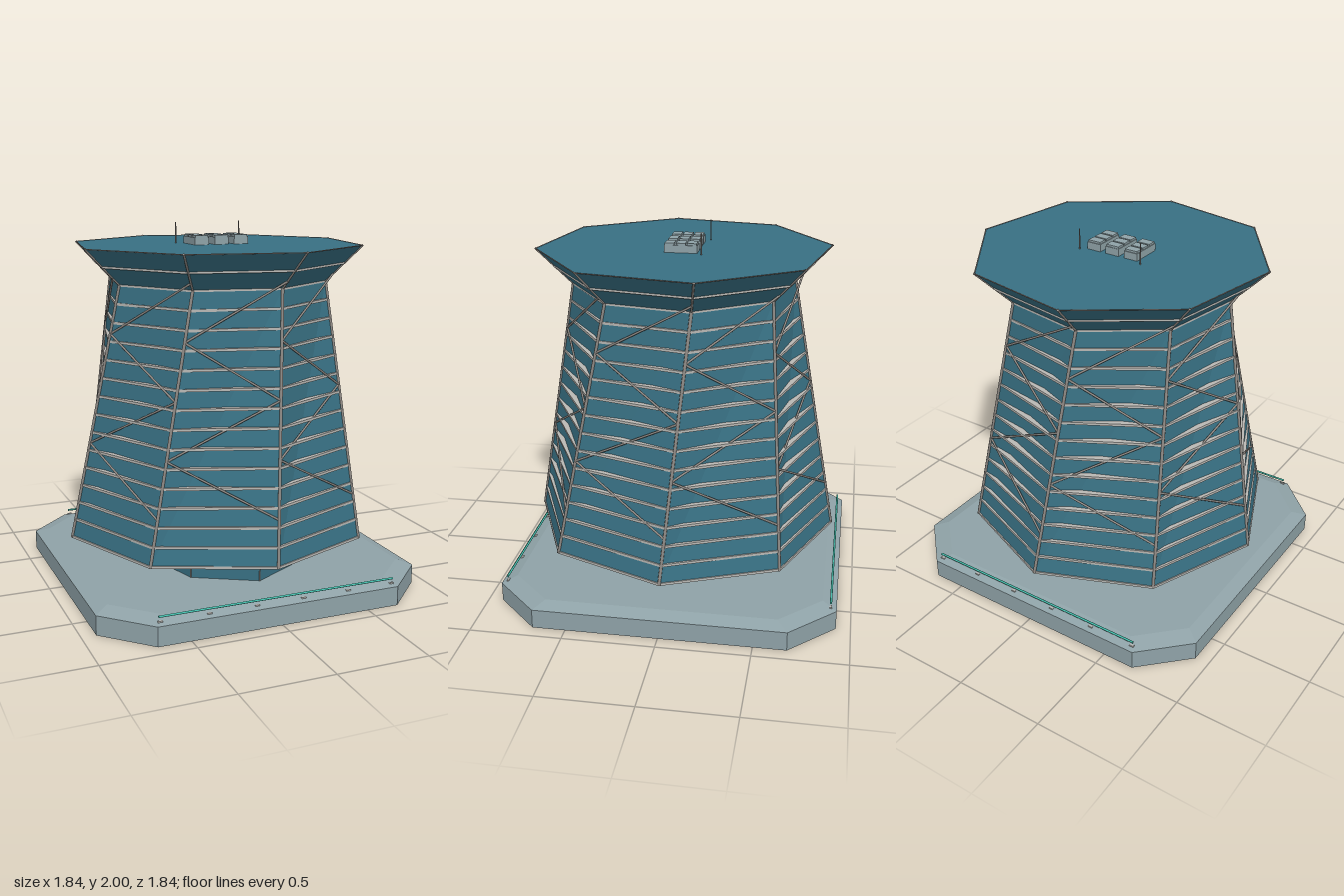
import * as THREE from 'three';

const mat = (name, color, extra = {}) => Object.assign(new THREE.MeshStandardMaterial({ color, ...extra }), { name });

export function createModel() {
  const glass = mat('teal glass', 0x387083, { flatShading: true });
  const stone = mat('pale grey', 0x8fa2a7, { flatShading: true });
  const slabWhite = mat('light floor edge', 0xb9b8b4, { flatShading: true });
  const frameMetal = mat('grey metal', 0x8d8883);
  const railGreen = mat('rail green', 0x46c0ae);

  const model = new THREE.Group();
  const group = (name) => {
    const g = new THREE.Group();
    g.name = name;
    model.add(g);
    return g;
  };
  const add = (parent, name, geo, material, x = 0, y = 0, z = 0) => {
    const m = new THREE.Mesh(geo, material);
    m.name = name;
    m.position.set(x, y, z);
    parent.add(m);
    return m;
  };
  const box = (w, h, d) => new THREE.BoxGeometry(w, h, d);

  // Round bar between two points
  const UP = new THREE.Vector3(0, 1, 0);
  const bar = (parent, name, a, b, r, material) => {
    const m = add(parent, name, new THREE.CylinderGeometry(r, r, a.distanceTo(b) + r, 8), material);
    m.position.copy(a).add(b).multiplyScalar(0.5);
    m.quaternion.setFromUnitVectors(UP, b.clone().sub(a).normalize());
    return m;
  };

  // Surface through matching rings of points, listed from the bottom up
  const loft = (rings, capBottom, capTop) => {
    const pos = [];
    const tri = (...p) => p.forEach((v) => pos.push(v.x, v.y, v.z));
    const n = rings[0].length;
    for (let i = 0; i < n; i++) {
      const j = (i + 1) % n;
      for (let k = 0; k + 1 < rings.length; k++) {
        const [lo, hi] = [rings[k], rings[k + 1]];
        tri(lo[i], lo[j], hi[j]);
        tri(lo[i], hi[j], hi[i]);
      }
      const [b, t] = [rings[0], rings[rings.length - 1]];
      if (capBottom && i > 0 && i < n - 1) tri(b[0], b[j], b[i]);
      if (capTop && i > 0 && i < n - 1) tri(t[0], t[i], t[j]);
    }
    const g = new THREE.BufferGeometry();
    g.setAttribute('position', new THREE.Float32BufferAttribute(pos, 3));
    g.computeVertexNormals();
    return g;
  };

  // Eight corners, the first one at the front, running towards +x
  const octagon = (y, rx, rz = rx, twist = 0) =>
    Array.from({ length: 8 }, (_, i) => {
      const a = (i * Math.PI) / 4 + twist;
      return new THREE.Vector3(rx * Math.sin(a), y, rz * Math.cos(a));
    });
  const TWIST = THREE.MathUtils.degToRad(12);
  const Y0 = 0.29, Y1 = 1.69, Y2 = 1.885;
  const foot = octagon(Y0, 0.86);
  const neck = octagon(Y1, 0.612, 0.612, TWIST);
  const crown = octagon(Y2, 0.808, 0.808, TWIST);

  // Point on the tower's corner line i at height y
  const corner = (i, y) =>
    y <= Y1
      ? foot[i].clone().lerp(neck[i], (y - Y0) / (Y1 - Y0))
      : neck[i].clone().lerp(crown[i], (y - Y1) / (Y2 - Y1));

  // Plinth: square with cut corners and a bevelled top
  const plinthRing = (y, s) => {
    const a = 0.922 * s, b = 0.678 * s;
    return [[-b, a], [b, a], [a, b], [a, -b], [b, -a], [-b, -a], [-a, -b], [-a, b]]
      .map(([x, z]) => new THREE.Vector3(x, y, z));
  };
  add(model, 'plinth', loft([plinthRing(0, 1), plinthRing(0.106, 1), plinthRing(0.132, 0.918)], true, true), stone);

  // Entrance level and the soffit widening to the tower
  const podiumLow = octagon(0.12, 0.46, 0.63);
  const podiumTop = octagon(0.222, 0.46, 0.63);
  add(model, 'entranceLevel', loft([podiumLow, podiumTop]), glass);
  add(model, 'soffit', loft([podiumTop, foot]), glass);

  // Twisted shaft of folded glass panels, flared crown and roof
  add(model, 'glassShaft', loft([foot, neck]), glass);
  add(model, 'flaredCrown', loft([neck, crown], false, true), glass);

  // Floor slabs whose edges stand proud of the folded glass
  const slabs = group('floorSlabs');
  for (let k = 0; k < 16; k++) {
    const y = Y0 + k * 0.1;
    const edge = (dy) => foot.map((_, i) => {
      const p = corner(i, y);
      return p.set(p.x * 1.006, y + dy, p.z * 1.006);
    });
    add(slabs, 'floorSlab', loft([edge(-0.007), edge(0.007)], true, true), slabWhite);
  }

  // Corner mullions, crown rim and zigzag bracing
  const frame = group('frame');
  for (let i = 0; i < 8; i++) {
    const j = (i + 1) % 8;
    bar(frame, 'podiumMullion', podiumLow[i], podiumTop[i], 0.004, frameMetal);
    bar(frame, 'soffitRib', podiumTop[i], foot[i], 0.004, frameMetal);
    bar(frame, 'cornerMullion', foot[i], neck[i], 0.0085, frameMetal);
    bar(frame, 'crownRib', neck[i], crown[i], 0.006, frameMetal);
    bar(frame, 'crownRim', crown[i], crown[j], 0.003, frameMetal);
    for (let k = 0; k < 4; k++) {
      const y = 1.73 - k * 0.3;
      const [from, to] = k % 2 ? [i, j] : [j, i];
      bar(frame, 'brace', corner(from, y), corner(to, y - 0.3), 0.006, frameMetal);
    }
  }

  // Roof cooling units, each with three raised sections
  const units = group('roofUnits');
  for (const x of [-0.115, 0, 0.115]) {
    add(units, 'unitBody', box(0.082, 0.04, 0.178), stone, x, Y2 + 0.02, 0);
    for (const z of [-0.06, 0, 0.06]) {
      add(units, 'unitTop', box(0.074, 0.012, 0.05), stone, x, Y2 + 0.045, z);
    }
  }

  // Antennas
  const antennas = group('antennas');
  for (const x of [-0.193, 0.188]) {
    add(antennas, 'antenna', new THREE.CylinderGeometry(0.003, 0.004, 0.115, 6), frameMetal, x, Y2 + 0.0575, -0.115);
  }

  // Light rails along the front and back of the plinth, with small feet on the bevel
  const rails = group('rails');
  for (const z of [-0.89, 0.89]) {
    const end = new THREE.Vector3(0.66, 0.144, z);
    bar(rails, 'rail', end.clone().setX(-0.66), end, 0.006, railGreen);
    for (let k = 0; k < 6; k++) {
      add(rails, 'railFoot', box(0.025, 0.012, 0.012), slabWhite, -0.655 + k * 0.262, 0.116, z);
    }
  }

  return model;
}
